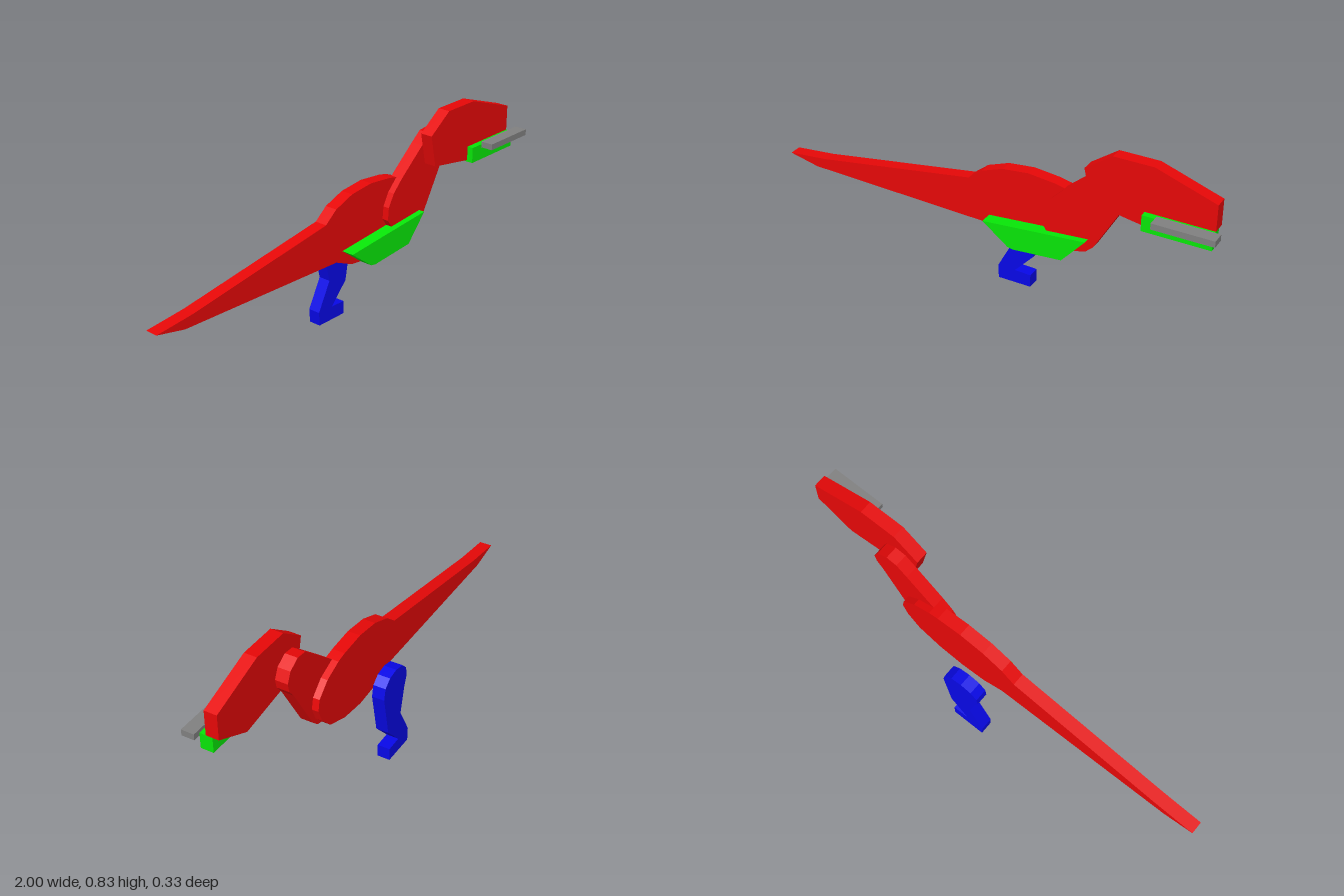
import * as THREE from 'three';

const THICK = 0.055;

const material = (name, color) => {
  const m = new THREE.MeshStandardMaterial({ color });
  m.name = name;
  return m;
};

// Flat plate: an outline in x and y, extruded forwards from zBack
function plate(name, mat, zBack, outline) {
  const shape = new THREE.Shape(outline.map(([x, y]) => new THREE.Vector2(x, y)));
  const geo = new THREE.ExtrudeGeometry(shape, { depth: THICK, bevelEnabled: false });
  const mesh = new THREE.Mesh(geo, mat);
  mesh.name = name;
  mesh.position.z = zBack;
  return mesh;
}

const rect = (x0, y0, x1, y1) => [[x0, y0], [x1, y0], [x1, y1], [x0, y1]];

export function createModel() {
  const red = material('red', 0xee0808);
  const green = material('green', 0x08ee08);
  const blue = material('blue', 0x0808ee);
  const grey = material('grey', 0x808080);

  const model = new THREE.Group();
  model.name = 'dinosaur';
  model.add(
    // Torso and tapering tail in one plate
    plate('bodyAndTail', red, -0.055, [
      [-1, 0.39], [-0.865, 0.36], [-0.05, 0.333], [0.045, 0.292], [0.16, 0.28],
      [0.28, 0.292], [0.386, 0.33], [0.444, 0.39], [0.468, 0.45], [0.458, 0.50],
      [0.40, 0.555], [0.32, 0.59], [0.275, 0.60], [0.16, 0.612], [0.045, 0.60],
      [-0.05, 0.565], [-0.11, 0.517], [-0.82, 0.407],
    ]),
    // Neck, rounded at both ends
    plate('neck', red, -0.026, [
      [0.38, 0.34], [0.43, 0.352], [0.463, 0.382], [0.585, 0.596], [0.612, 0.63],
      [0.62, 0.67], [0.60, 0.715], [0.55, 0.745], [0.50, 0.74], [0.45, 0.70],
      [0.32, 0.59], [0.27, 0.54], [0.24, 0.485], [0.235, 0.43], [0.27, 0.38], [0.32, 0.348],
    ]),
    plate('head', red, 0.03, [
      [0.47, 0.615], [0.805, 0.56], [0.97, 0.64], [0.97, 0.75],
      [0.72, 0.835], [0.553, 0.835], [0.44, 0.755],
    ]),
    plate('lowerJaw', green, 0.057, rect(0.69, 0.572, 0.97, 0.64)),
    plate('teeth', grey, 0.113, rect(0.75, 0.627, 1, 0.653)),
    plate('belly', green, 0.001, [
      [-0.015, 0.372], [0.10, 0.285], [0.125, 0.28], [0.34, 0.298], [0.44, 0.412], [0.22, 0.393],
    ]),
    // Rounded thigh, bent shin and foot
    plate('leg', blue, -0.166, [
      [-0.032, 0], [0.118, 0], [0.118, 0.057], [0.045, 0.06], [0.13, 0.152],
      [0.165, 0.34], [0.155, 0.39], [0.12, 0.42], [0.07, 0.43], [0.02, 0.42],
      [-0.01, 0.39], [-0.015, 0.35], [0.003, 0.30], [0.03, 0.185], [-0.035, 0.06],
    ]),
  );
  return model;
}
